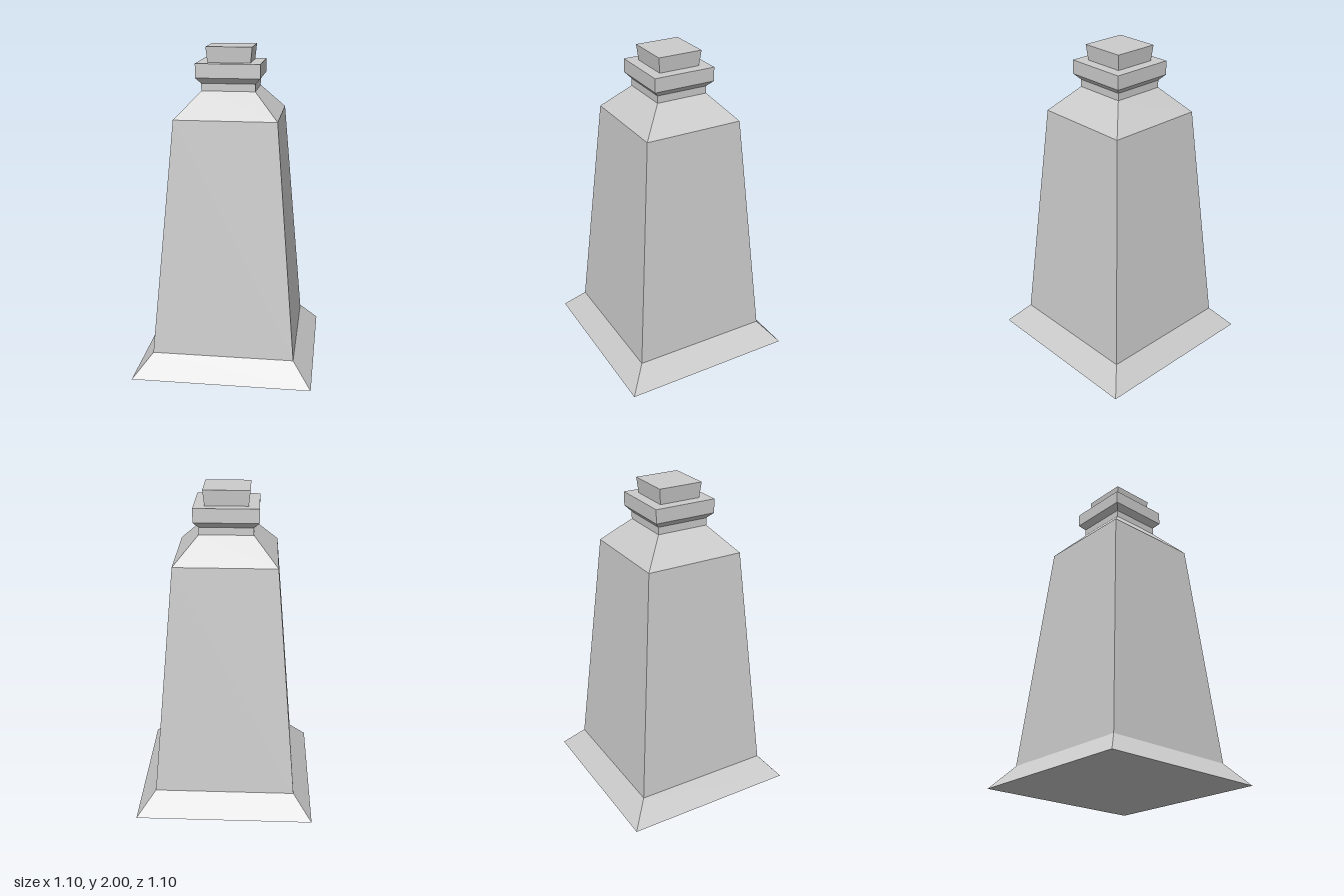
import * as THREE from 'three';

const grey = new THREE.MeshStandardMaterial({ color: 0xcccccc, flatShading: true });
grey.name = 'plain grey';

// Square-section solid: profile rows are [half width, height], bottom to top
function squareLathe(name, profile) {
  const points = profile.map(([half, y]) => new THREE.Vector2(half * Math.SQRT2, y));
  const geometry = new THREE.LatheGeometry(points, 4, Math.PI / 4).toNonIndexed();
  geometry.computeVertexNormals();
  const mesh = new THREE.Mesh(geometry, grey);
  mesh.name = name;
  return mesh;
}

export function createModel() {
  const model = new THREE.Group();
  model.name = 'squareBottle';
  model.add(
    // Flared foot with closed underside
    squareLathe('base', [[0, 0], [0.552, 0], [0.437, 0.135]]),
    // Tapered body and sloping shoulders
    squareLathe('body', [[0.437, 0.135], [0.31, 1.585]]),
    squareLathe('shoulder', [[0.31, 1.585], [0.163, 1.74]]),
    // Neck, then a lip that flares out to a flat rim
    squareLathe('neck', [[0.163, 1.74], [0.163, 1.785]]),
    squareLathe('lip', [[0.163, 1.785], [0.195, 1.82], [0.195, 1.905], [0, 1.905]]),
    // Stopper, slightly wider at the top
    squareLathe('stopper', [[0.13, 1.905], [0.14, 2], [0, 2]]),
  );
  return model;
}
